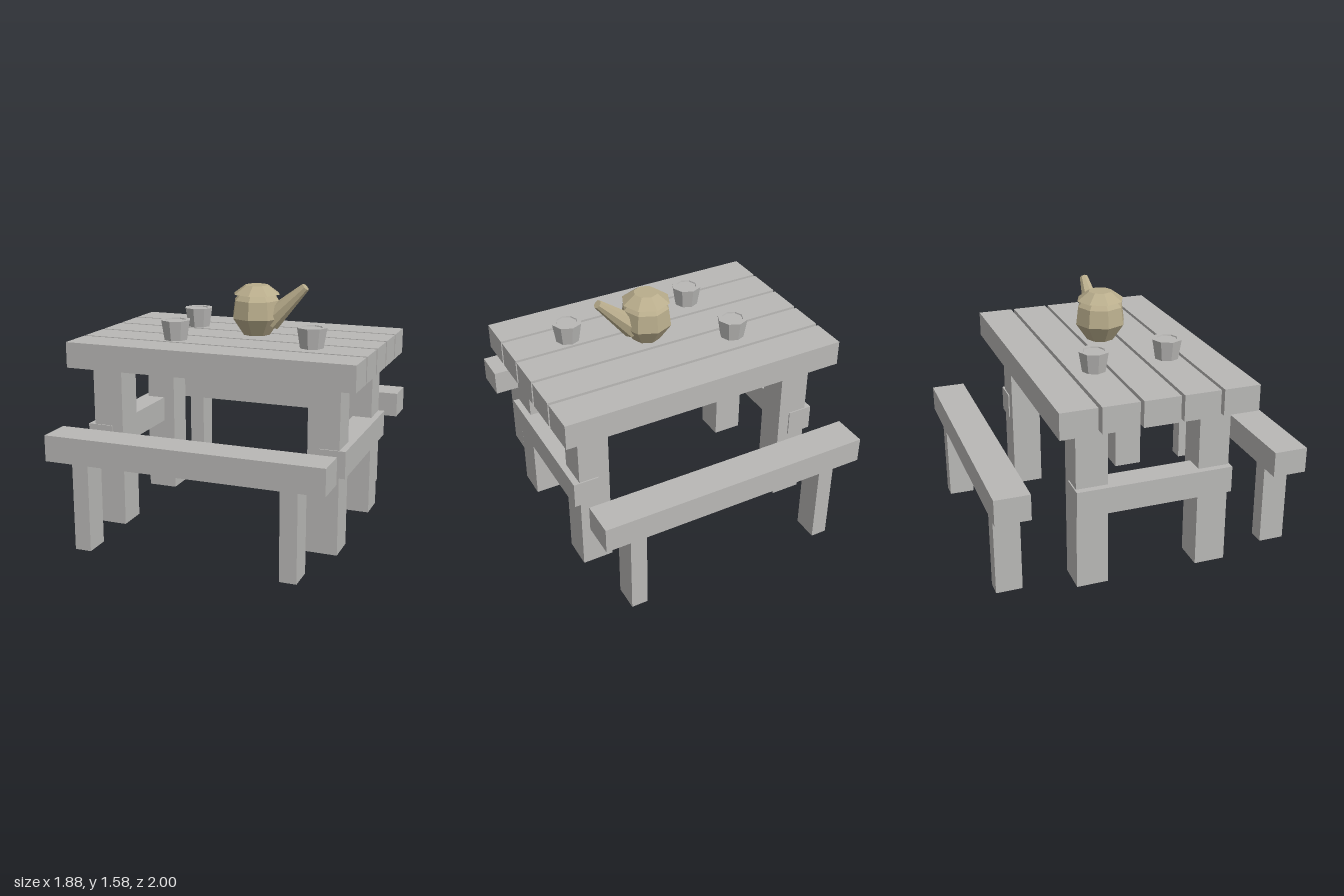
import * as THREE from 'three';

const wood = new THREE.MeshStandardMaterial({ color: 0xb9b8b6 });
wood.name = 'paleGrey';
const clay = new THREE.MeshStandardMaterial({ color: 0xb9ad8c });
clay.name = 'tan';

// Box given by its minimum and maximum on each axis
function box(parent, name, [x0, x1], [y0, y1], [z0, z1]) {
  const mesh = new THREE.Mesh(new THREE.BoxGeometry(x1 - x0, y1 - y0, z1 - z0), wood);
  mesh.position.set((x0 + x1) / 2, (y0 + y1) / 2, (z0 + z1) / 2);
  mesh.name = name;
  parent.add(mesh);
}

// Separate the faces so each one is shaded flat
function faceted(geometry) {
  const flat = geometry.toNonIndexed();
  flat.computeVertexNormals();
  return flat;
}

// Eight-sided turned part from [radius, height] pairs, bottom to top
function turned(parent, name, profile, material) {
  const points = profile.map(([r, y]) => new THREE.Vector2(r, y));
  const mesh = new THREE.Mesh(faceted(new THREE.LatheGeometry(points, 8)), material);
  mesh.name = name;
  parent.add(mesh);
  return mesh;
}

function createTable() {
  const table = new THREE.Group();
  table.name = 'table';
  for (let i = -2; i <= 2; i++) {
    const z = i * 0.2515 - 0.004;
    box(table, 'tabletopPlank', [-0.945, 0.94], [1.06, 1.225], [z - 0.115, z + 0.115]);
  }
  for (const x of [-0.724, 0.72]) {
    for (const z of [-0.392, 0.392]) {
      box(table, 'tableLeg', [x - 0.1, x + 0.1], [0, 1.06], [z - 0.1, z + 0.1]);
    }
  }
  // Rails joining the front and back legs
  for (const x of [-0.783, 0.777]) {
    box(table, 'crossRail', [x - 0.083, x + 0.083], [0.5, 0.67], [-0.5, 0.5]);
  }
  return table;
}

function createBench(side) {
  const bench = new THREE.Group();
  bench.name = side > 0 ? 'frontBench' : 'backBench';
  const z = side * 0.89;
  box(bench, 'benchSeat', [-0.89, 0.885], [0.56, 0.725], [z - 0.11, z + 0.11]);
  for (const x of [-0.668, 0.664]) {
    box(bench, 'benchLeg', [x - 0.053, x + 0.053], [0, 0.56], [z - 0.083, z + 0.083]);
  }
  return bench;
}

function createTeapot() {
  const teapot = new THREE.Group();
  teapot.name = 'teapot';
  turned(teapot, 'teapotBody',
    [[0, 1.24], [0.09, 1.24], [0.165, 1.35], [0.15, 1.465], [0.115, 1.505], [0, 1.505]], clay);
  turned(teapot, 'teapotLid', [[0, 1.503], [0.155, 1.503], [0.077, 1.56], [0, 1.56]], clay);

  // Tapered spout rising towards +x
  const base = new THREE.Vector3(0.09, 1.335, 0);
  const tip = new THREE.Vector3(0.328, 1.562, 0);
  const axis = tip.clone().sub(base);
  const spout = new THREE.Mesh(
    faceted(new THREE.CylinderGeometry(0.028, 0.075, axis.length(), 8)), clay);
  spout.name = 'teapotSpout';
  spout.position.copy(base).add(tip).multiplyScalar(0.5);
  spout.quaternion.setFromUnitVectors(new THREE.Vector3(0, 1, 0), axis.normalize());
  teapot.add(spout);
  teapot.position.set(0.11, 0, -0.008);
  return teapot;
}

export function createModel() {
  const model = new THREE.Group();
  model.name = 'picnicTable';
  model.add(createTable(), createBench(1), createBench(-1), createTeapot());

  // Cups with a shallow recess in the top
  for (const [x, z] of [[0.553, 0.22], [-0.337, 0.274], [-0.392, -0.226]]) {
    const cup = turned(model, 'cup',
      [[0, 1.225], [0.077, 1.225], [0.098, 1.353], [0.068, 1.353], [0.066, 1.345], [0, 1.345]], wood);
    cup.position.set(x, 0, z);
  }
  return model;
}
